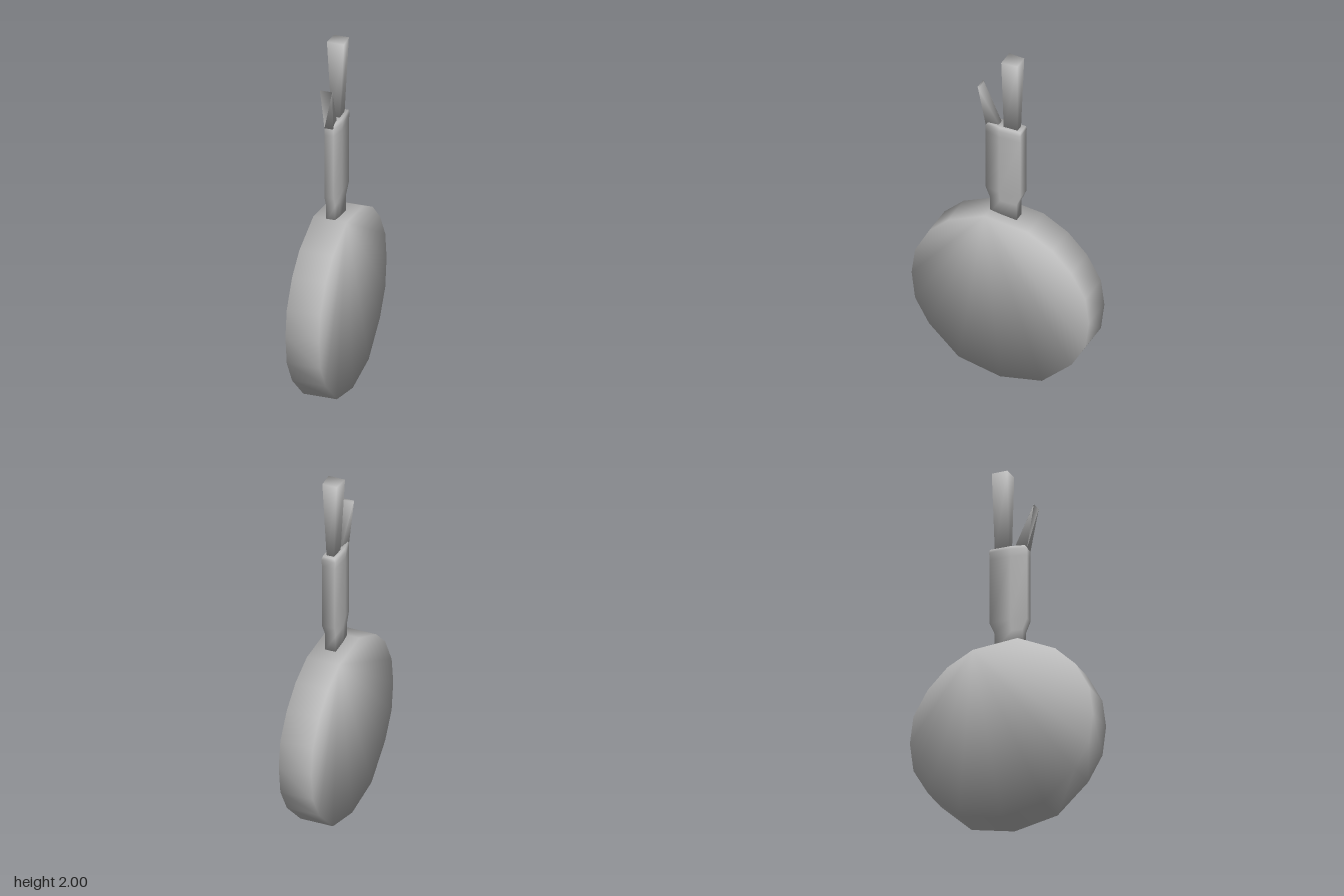
import * as THREE from 'three';

const grey = new THREE.MeshStandardMaterial({ color: 0xbbbbbb, side: THREE.DoubleSide });
grey.name = 'grey';

// Closed solid through matching rings of [x, y, z]; rings run counter-clockwise
// about the direction of travel. Normals are shared softly over every edge.
function loft(name, rings) {
  const n = rings[0].length;
  const points = rings.flat().map((p) => new THREE.Vector3(...p));
  const normals = points.map(() => new THREE.Vector3());
  const index = [];

  const addPolygon = (ids, weight) => {
    const normal = new THREE.Vector3();
    for (let i = 1; i < ids.length - 1; i++) {
      const [a, b, c] = [ids[0], ids[i], ids[i + 1]].map((k) => points[k]);
      index.push(ids[0], ids[i], ids[i + 1]);
      normal.add(b.clone().sub(a).cross(c.clone().sub(a)));
    }
    normal.normalize().multiplyScalar(weight);
    ids.forEach((k) => normals[k].add(normal));
  };

  for (let r = 0; r < rings.length - 1; r++) {
    for (let i = 0; i < n; i++) {
      const j = (i + 1) % n;
      addPolygon([r * n + i, r * n + j, (r + 1) * n + j, (r + 1) * n + i], 1);
    }
  }
  const first = rings[0].map((_, i) => i);
  addPolygon(first.map((i) => (rings.length - 1) * n + i), 1.4);
  addPolygon(first.reverse(), 1.4);

  const geometry = new THREE.BufferGeometry();
  geometry.setAttribute('position', new THREE.Float32BufferAttribute(points.flatMap((p) => p.toArray()), 3));
  geometry.setAttribute('normal', new THREE.Float32BufferAttribute(normals.flatMap((v) => v.normalize().toArray()), 3));
  geometry.setIndex(index);
  const mesh = new THREE.Mesh(geometry, grey);
  mesh.name = name;
  return mesh;
}

// Four-sided ring: half widths and z at the front and back, heights at each
const quad = (yf, wf, zf, yb = yf, wb = wf, zb = 0) => [
  [-wf, yf, zf], [wf, yf, zf], [wb, yb, zb], [-wb, yb, zb],
];

// Six-sided ring: narrow front, widest in the middle, slightly narrower back
const hex = (y, wf, zf, wm, zm, wb, zb) => [
  [-wf, y, zf], [wf, y, zf], [wm, y, zm], [wb, y, zb], [-wb, y, zb], [-wm, y, zm],
];

export function createModel() {
  const model = new THREE.Group();
  model.name = 'discWithHandle';

  // Thick upright disc, outlined as [z, y] from the top round the front
  const outline = [
    [0.09, 1.01], [0.3, 0.915], [0.41, 0.81], [0.49, 0.66], [0.51, 0.51], [0.49, 0.35],
    [0.41, 0.21], [0.24, 0.05], [0, 0], [-0.24, 0.05], [-0.41, 0.21], [-0.49, 0.35],
    [-0.51, 0.51], [-0.49, 0.66], [-0.41, 0.8], [-0.3, 0.91], [-0.16, 0.985],
  ];
  model.add(loft('disc', [-0.095, 0.09].map((x) => outline.map(([z, y]) => [x, y, z]))));

  // Grip with a slim neck at the bottom and a collar at the top
  model.add(loft('grip', [
    hex(0.99, 0.025, 0.09, 0.03, 0.03, 0.03, -0.065),
    hex(1.09, 0.025, 0.09, 0.03, 0.03, 0.03, -0.065),
    hex(1.15, 0.025, 0.115, 0.042, 0.03, 0.036, -0.09),
    hex(1.51, 0.025, 0.115, 0.042, 0.03, 0.036, -0.09),
    hex(1.55, 0.025, 0.115, 0.046, 0.03, 0.04, -0.09),
    hex(1.57, 0.022, 0.107, 0.038, 0.03, 0.034, -0.088),
  ]));

  // Tall post widening towards its top
  model.add(loft('post', [
    quad(1.55, 0.022, 0.012, 1.55, 0.02, -0.066),
    quad(2, 0.047, 0.015, 2, 0.041, -0.075),
  ]));

  // Short prong leaning forward to a flared, thin tip
  model.add(loft('prong', [
    quad(1.55, 0.024, 0.115, 1.56, 0.016, 0.038),
    quad(1.79, 0.034, 0.157, 1.78, 0.034, 0.153),
  ]));

  return model;
}
